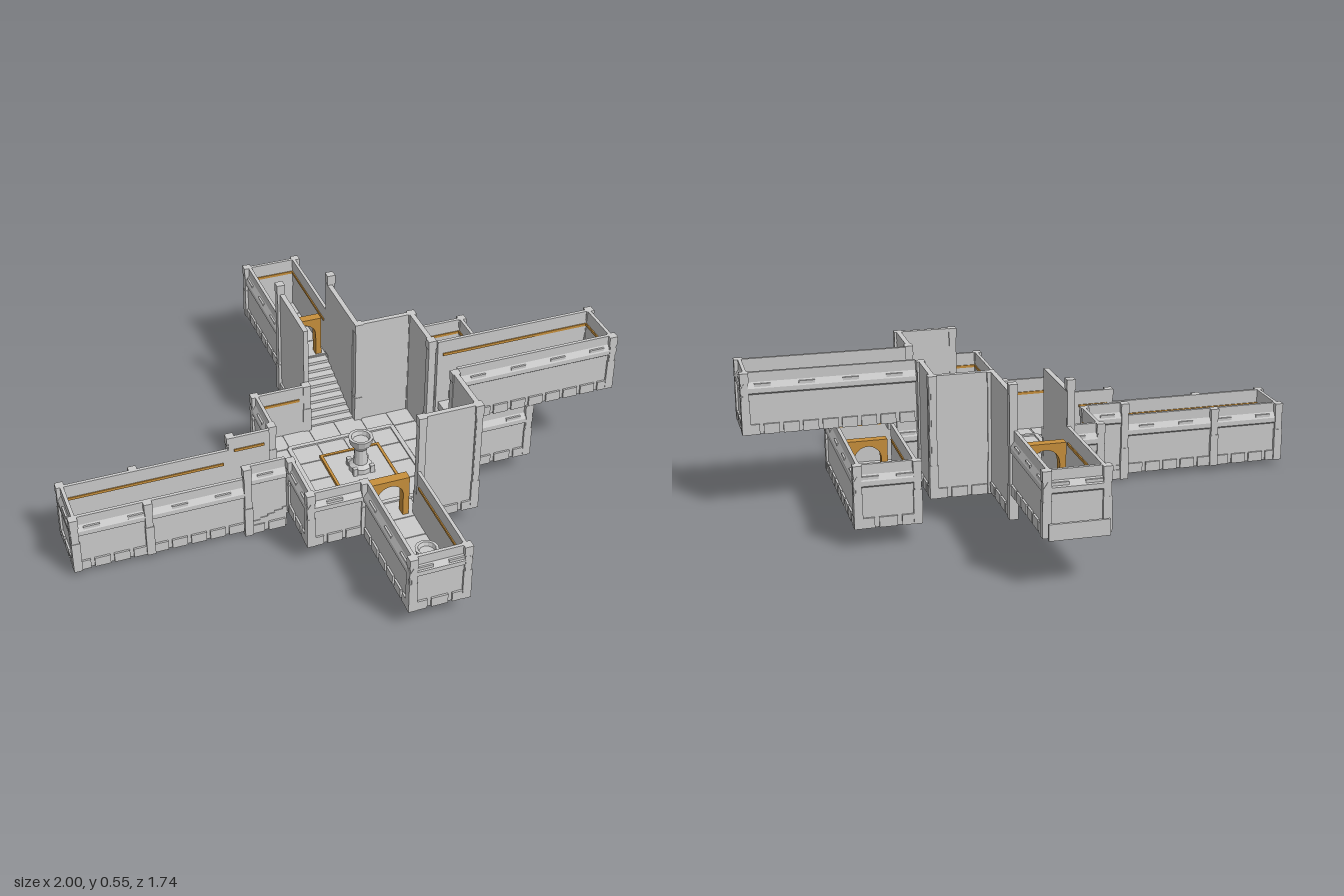
import * as THREE from 'three';

const stone = new THREE.MeshStandardMaterial({ color: 0xcccccc, flatShading: true });
const wood = new THREE.MeshStandardMaterial({ color: 0xc8903c, flatShading: true });
const H = 0.22; // storey height

export function createModel() {
  const root = new THREE.Group();

  const add = (name, geo, mat = stone, parent = root) => {
    const m = new THREE.Mesh(geo, mat);
    m.name = name;
    parent.add(m);
    return m;
  };
  // box given by its minimum and maximum corners
  const box = (name, x0, y0, z0, x1, y1, z1, mat = stone, parent = root) => {
    const m = add(name, new THREE.BoxGeometry(x1 - x0, y1 - y0, z1 - z0), mat, parent);
    m.position.set((x0 + x1) / 2, (y0 + y1) / 2, (z0 + z1) / 2);
    return m;
  };

  // wall run: local z follows the run, local x points into the room
  function wall(name, x0, z0, x1, z1, y, h = H, plain = false) {
    const g = new THREE.Group();
    g.name = name;
    g.position.set(x0, y, z0);
    g.rotation.y = Math.atan2(x1 - x0, z1 - z0);
    root.add(g);
    const L = Math.hypot(x1 - x0, z1 - z0);
    const pts = plain
      ? [[0.008, 0], [0.026, 0], [0.026, h], [0.008, h]]
      : [[0.008, 0], [0.026, 0], [0.026, h], [0.014, h], [0.014, h - 0.035], [0.001, h - 0.055],
        [0.001, h - 0.072], [0.008, h - 0.078]];
    const shape = new THREE.Shape(pts.map(p => new THREE.Vector2(...p)));
    add(name + 'Body', new THREE.ExtrudeGeometry(shape, { depth: L, bevelEnabled: false }), stone, g);
    // foundation blocks
    const n = Math.max(1, Math.round(L / 0.07));
    for (let i = 0; i < n; i++) {
      const a = (i + 0.1) * L / n, b = (i + 0.9) * L / n;
      box('foundationBlock', 0.001, 0, a, 0.012, 0.036, b, stone, g);
    }
    if (plain) return;
    // raised stones on the sloped shoulder and a timber rail inside
    const k = Math.max(1, Math.round(L / 0.14));
    for (let i = 0; i < k; i++) {
      const c = (i + 0.5) * L / k;
      box('shoulderStone', 0.004, h - 0.052, c - 0.028, 0.016, h - 0.04, c + 0.028, stone, g);
    }
    box('timberRail', 0.025, h - 0.06, 0.02, 0.03, h - 0.05, L - 0.02, wood, g);
  }

  function post(x, z, y, h = H) {
    box('postBase', x - 0.015, y, z - 0.015, x + 0.015, y + Math.min(0.12, h * 0.55), z + 0.015);
    box('postShaft', x - 0.013, y, z - 0.013, x + 0.013, y + h, z + 0.013);
    box('postCap', x - 0.015, y + h - 0.035, z - 0.015, x + 0.015, y + h, z + 0.015);
  }

  // floor: thin core with paving above and below
  function floor(name, x0, z0, x1, z1, y) {
    box(name, x0, y + 0.003, z0, x1, y + 0.018, z1);
    const nx = Math.max(1, Math.round((x1 - x0) / 0.1)), nz = Math.max(1, Math.round((z1 - z0) / 0.1));
    const w = (x1 - x0) / nx, d = (z1 - z0) / nz;
    for (let i = 0; i < nx; i++) for (let j = 0; j < nz; j++)
      box('pavingTile', x0 + i * w + 0.003, y, z0 + j * d + 0.003,
        x0 + (i + 1) * w - 0.003, y + 0.021, z0 + (j + 1) * d - 0.003);
  }

  // stair flight from (x0,z0) to (x1,z1) between two heights, w wide
  function stairs(name, x0, z0, x1, z1, y0, y1, w, n) {
    const alongX = x0 !== x1;
    for (let i = 0; i < n; i++) {
      const t = (i + 0.5) / n, x = x0 + (x1 - x0) * t, z = z0 + (z1 - z0) * t, y = y0 + (y1 - y0) * t;
      const d = Math.abs(alongX ? x1 - x0 : z1 - z0) / n;
      const hx = (alongX ? d : w) / 2, hz = (alongX ? w : d) / 2;
      box(name, x - hx, y - 0.03, z - hz, x + hx, y, z + hz);
    }
  }

  // arched door frame crossing a corridor along x
  function doorway(x, z, y) {
    const s = new THREE.Shape();
    s.moveTo(-0.07, 0).lineTo(-0.07, 0.16).lineTo(0.07, 0.16).lineTo(0.07, 0).lineTo(0.048, 0);
    s.lineTo(0.048, 0.09).absarc(0, 0.09, 0.048, 0, Math.PI, false).lineTo(-0.048, 0);
    const m = add('doorFrame', new THREE.ExtrudeGeometry(s, { depth: 0.034, bevelEnabled: false, curveSegments: 8 }), wood);
    m.position.set(x, y, z - 0.017);
  }

  function pedestal(name, x, z, y, s) {
    const p = [[0, 0], [0.042, 0], [0.042, 0.02], [0.026, 0.03], [0.022, 0.09], [0.04, 0.115], [0.045, 0.14],
      [0.034, 0.14], [0.028, 0.125], [0, 0.125]].map(([a, b]) => new THREE.Vector2(a * s, b * s));
    add(name, new THREE.LatheGeometry(p, 12), stone).position.set(x, y, z);
    for (let i = 0; i < 4; i++) {
      const a = i * Math.PI / 2 + Math.PI / 4;
      const f = add(name + 'Foot', new THREE.BoxGeometry(0.016 * s, 0.03 * s, 0.016 * s));
      f.position.set(x + Math.cos(a) * 0.045 * s, y + 0.015 * s, z + Math.sin(a) * 0.045 * s);
    }
  }

  // central hall
  const G = 0.07;
  floor('hallFloor', -0.23, -0.15, 0.38, 0.45, G);
  wall('hallWall', -0.24, -0.16, -0.24, 0.04, G);
  wall('hallWall', -0.24, 0.25, -0.24, 0.46, G);
  wall('hallWall', -0.24, 0.46, -0.04, 0.46, G);
  wall('hallWall', -0.04, -0.16, -0.24, -0.16, G);
  wall('tallHallWall', 0.18, 0.46, 0.39, 0.46, G, 0.44, true);
  wall('tallHallWall', 0.39, 0.46, 0.39, 0.25, G, 0.44, true);
  wall('tallHallWall', 0.39, 0.04, 0.39, -0.16, G, 0.44, true);
  wall('tallHallWall', 0.39, -0.16, 0.18, -0.16, G, 0.44, true);
  for (const [x, z] of [[-0.225, -0.145], [-0.225, 0.445], [-0.225, 0.04], [-0.225, 0.25], [-0.03, 0.445]]) post(x, z, G);
  for (const [x, z] of [[0.375, 0.445], [0.375, -0.145], [0.17, 0.445], [0.375, 0.25], [0.375, 0.04], [0.17, -0.145]]) post(x, z, G, 0.44);

  // raised floor band and central dais with a timber border, both sides
  for (const s of [-1, 1]) {
    box('floorBand', 0.07 + s * 0.2 - 0.008, 0.088, -0.05, 0.07 + s * 0.2 + 0.008, 0.097, 0.35);
    box('floorBand', -0.13, 0.088, 0.15 + s * 0.2 - 0.008, 0.27, 0.097, 0.15 + s * 0.2 + 0.008);
    box('daisTrim', 0.07 + s * 0.108 - 0.005, 0.066, 0.037, 0.07 + s * 0.108 + 0.005, 0.104, 0.263, wood);
    box('daisTrim', -0.043, 0.066, 0.15 + s * 0.108 - 0.005, 0.183, 0.104, 0.15 + s * 0.108 + 0.005, wood);
  }
  box('dais', -0.04, 0.068, 0.04, 0.18, 0.1, 0.26);
  pedestal('centrePedestal', 0.07, 0.15, 0.1, 1);

  // front arm
  floor('frontArmFloor', -0.03, 0.45, 0.17, 0.86, G);
  wall('frontArmWall', -0.04, 0.46, -0.04, 0.87, G);
  wall('frontArmWall', -0.04, 0.87, 0.18, 0.87, G);
  wall('frontArmWall', 0.18, 0.87, 0.18, 0.46, G);
  post(-0.025, 0.855, G);
  post(0.165, 0.855, G);
  doorway(0.07, 0.415, 0.09);
  pedestal('frontPedestal', 0.07, 0.75, 0.09, 0.9);

  // back stairwell and raised back arm
  const B = 0.17;
  stairs('backStep', 0.07, -0.15, 0.07, -0.44, 0.09, 0.19, 0.2, 9);
  wall('backStairWall', -0.04, -0.44, -0.04, -0.16, 0.08, 0.43, true);
  wall('backStairWall', 0.18, -0.16, 0.18, -0.44, 0.08, 0.43, true);
  post(-0.03, -0.145, G);
  for (const x of [-0.028, 0.168]) {
    post(x, -0.43, 0.08, 0.47);
    post(x, -0.83, B);
  }
  floor('backArmFloor', -0.03, -0.84, 0.17, -0.44, B);
  wall('backArmWall', -0.04, -0.845, -0.04, -0.44, B);
  wall('backArmWall', 0.18, -0.44, 0.18, -0.845, B);
  wall('backArmEnd', 0.18, -0.845, -0.04, -0.845, B);
  box('backSill', -0.03, B, -0.87, 0.17, B + 0.055, -0.86);
  doorway(0.07, -0.467, 0.19);

  // sunken left-hand arm with its short flight
  const W = 0.02;
  stairs('sideStep', -0.23, 0.145, -0.39, 0.145, 0.09, 0.04, 0.2, 6);
  wall('sideStairWall', -0.24, 0.04, -0.39, 0.04, 0, 0.29);
  wall('sideStairWall', -0.39, 0.25, -0.24, 0.25, 0, 0.29);
  floor('longArmFloor', -0.78, 0.05, -0.385, 0.24, W);
  box('cellFloor', -0.99, W, 0.05, -0.78, W + 0.01, 0.24);
  wall('longArmWall', -0.39, 0.04, -1, 0.04, W);
  wall('longArmWall', -1, 0.04, -1, 0.25, W);
  wall('longArmWall', -1, 0.25, -0.39, 0.25, W);
  for (const z of [0.05, 0.24]) {
    post(-0.985, z, W);
    post(-0.73, z, W);
    post(-0.38, z, 0, 0.29);
  }
  box('cellThreshold', -0.785, W, 0.06, -0.775, W + 0.035, 0.23, wood);

  // lower passage turning to the back branch
  floor('lowerPassageFloor', 0.38, 0.05, 0.68, 0.24, G);
  floor('branchFloor', 0.47, -0.36, 0.68, 0.05, G);
  wall('lowerPassageWall', 0.39, 0.25, 0.69, 0.25, G);
  wall('branchWall', 0.69, 0.25, 0.69, -0.37, G);
  wall('branchWall', 0.69, -0.37, 0.46, -0.37, G);
  wall('branchWall', 0.46, -0.37, 0.46, 0.04, G);
  wall('lowerPassageWall', 0.46, 0.04, 0.39, 0.04, G);
  for (const x of [0.475, 0.675]) post(x, -0.355, G);
  post(0.675, 0.235, G);
  doorway(0.577, 0.01, 0.09);

  // upper arm over the passage, reached by free-standing steps
  const U = 0.29;
  floor('upperArmFloor', 0.48, 0.05, 0.99, 0.24, U);
  wall('upperArmWall', 0.39, 0.25, 1, 0.25, U);
  wall('upperArmWall', 1, 0.25, 1, 0.04, U);
  wall('upperArmWall', 1, 0.04, 0.39, 0.04, U);
  for (const z of [0.055, 0.235]) post(0.985, z, U);
  box('upperThreshold', 0.478, U, 0.06, 0.488, U + 0.035, 0.23, wood);
  [[0.29, 0.17, 0.13], [0.35, 0.17, 0.17], [0.36, 0.11, 0.21], [0.4, 0.065, 0.25], [0.44, 0.065, 0.29]].forEach(([x, z, y]) =>
    box('upperStep', x, y - 0.03, z, x + 0.05, y, z + 0.05));

  // raised floor strips along the arms
  const strip = (x, z, y, alongX) => box('floorStrip', x - (alongX ? 0.025 : 0.005), y, z - (alongX ? 0.005 : 0.025),
    x + (alongX ? 0.025 : 0.005), y + 0.006, z + (alongX ? 0.005 : 0.025));
  for (let i = 0; i < 4; i++) {
    strip(0.07, 0.5 + i * 0.06, 0.09, false);
    strip(0.07, -0.54 - i * 0.08, 0.19, false);
    strip(-0.43 - i * 0.1, 0.145, 0.04, true);
    strip(0.57 + i * 0.1, 0.145, 0.31, true);
    strip(0.577, -0.06 - i * 0.08, 0.09, false);
  }
  return root;
}
